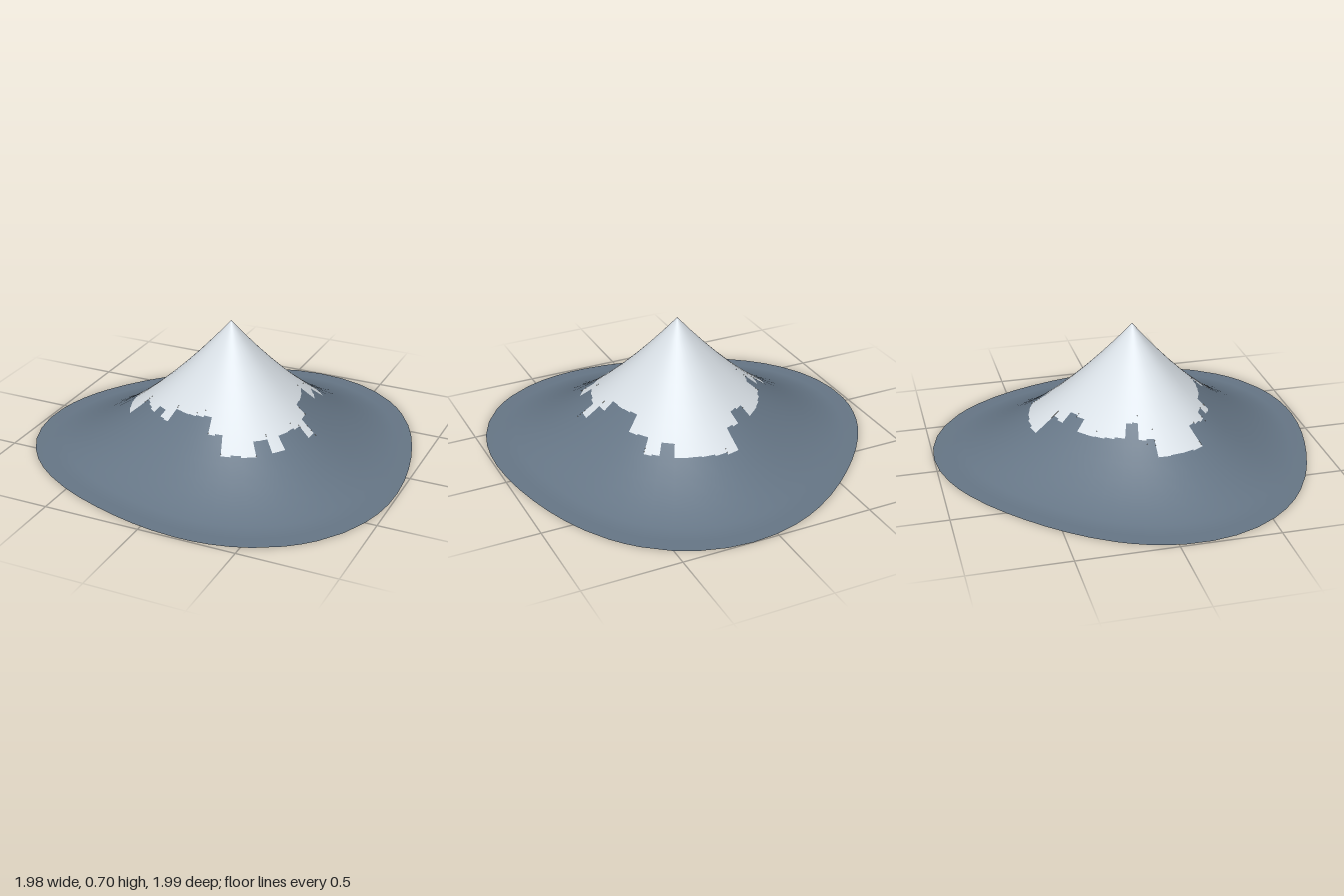
import * as THREE from 'three';

const PEAK = new THREE.Vector3(0.035, 0.7, 0.035);
const FLAT = 0.922; // share of the radius where the slope meets the ground
const RINGS = 13;
const rad = THREE.MathUtils.degToRad;

// Jagged snow line: [end angle in degrees, distance from the peak]
const SNOW_LINE = [
  [8, 0.415], [15, 0.495], [27, 0.445], [35, 0.455], [43, 0.525], [52, 0.465],
  [60, 0.53], [71, 0.515], [81, 0.42], [117, 0.345], [126, 0.405], [134, 0.38],
  [152, 0.42], [180, 0.525], [190, 0.44], [199, 0.365], [235, 0.42], [250, 0.37],
  [261, 0.43], [297, 0.54], [305, 0.475], [314, 0.525], [322, 0.445], [329, 0.44],
  [360, 0.36],
];

// Three-lobed foot of the mountain, measured from the peak's axis
function footRadius(a) {
  return 0.985 + 0.058 * Math.cos(3 * a - rad(141)) + 0.01 * Math.cos(a - rad(320));
}

// Point on the slope: angle a, t from 0 (peak) to 1 (foot)
function slopePoint(a, t) {
  const r = t * footRadius(a);
  const y = PEAK.y * Math.pow(Math.max(0, 1 - t / FLAT), 1.57);
  return new THREE.Vector3(PEAK.x + r * Math.cos(a), y, PEAK.z + r * Math.sin(a));
}

function slopeNormal(a, t) {
  const s = THREE.MathUtils.clamp(t, 0.02, 0.98), e = 0.01;
  const around = slopePoint(a + e, s).sub(slopePoint(a - e, s));
  const down = slopePoint(a, s + e).sub(slopePoint(a, s - e));
  return around.cross(down).normalize();
}

// Strips of the slope; each column is [angle0, angle1, tStart, tEnd]
function slopeGeometry(columns) {
  const positions = [], normals = [], index = [];
  for (const [a0, a1, tStart, tEnd] of columns) {
    const ts = [tStart];
    for (let i = 1; i < RINGS; i++) {
      const t = i / RINGS;
      if (t > tStart + 0.005 && t < tEnd - 0.005) ts.push(t);
    }
    ts.push(tEnd);
    const base = positions.length / 3;
    ts.forEach((t, i) => {
      for (const a of [a0, a1]) {
        positions.push(...slopePoint(a, t).toArray());
        normals.push(...slopeNormal(a, t).toArray());
      }
      if (i === 0) return;
      const k = base + 2 * (i - 1);
      if (ts[i - 1] > 0) index.push(k, k + 1, k + 2);
      index.push(k + 1, k + 3, k + 2);
    });
  }
  const g = new THREE.BufferGeometry();
  g.setAttribute('position', new THREE.Float32BufferAttribute(positions, 3));
  g.setAttribute('normal', new THREE.Float32BufferAttribute(normals, 3));
  g.setIndex(index);
  return g;
}

export function createModel() {
  const rock = new THREE.MeshStandardMaterial({ color: 0x667686, side: THREE.DoubleSide });
  rock.name = 'slate rock';
  const snow = new THREE.MeshStandardMaterial({ color: 0xd9e0e6, side: THREE.DoubleSide });
  snow.name = 'snow';

  // Split every step of the snow line into columns of about eight degrees
  const snowColumns = [], rockColumns = [];
  let start = 0;
  for (const [end, distance] of SNOW_LINE) {
    const n = Math.ceil((end - start) / 8);
    for (let i = 0; i < n; i++) {
      const a0 = rad(start + (end - start) * i / n);
      const a1 = rad(start + (end - start) * (i + 1) / n);
      const edge = distance / footRadius((a0 + a1) / 2);
      snowColumns.push([a0, a1, 0, edge]);
      rockColumns.push([a0, a1, edge, 1]);
    }
    start = end;
  }

  const group = new THREE.Group();
  group.name = 'mountain';
  const cap = new THREE.Mesh(slopeGeometry(snowColumns), snow);
  cap.name = 'snowCap';
  const slopes = new THREE.Mesh(slopeGeometry(rockColumns), rock);
  slopes.name = 'rockSlopes';
  group.add(cap, slopes);
  return group;
}
